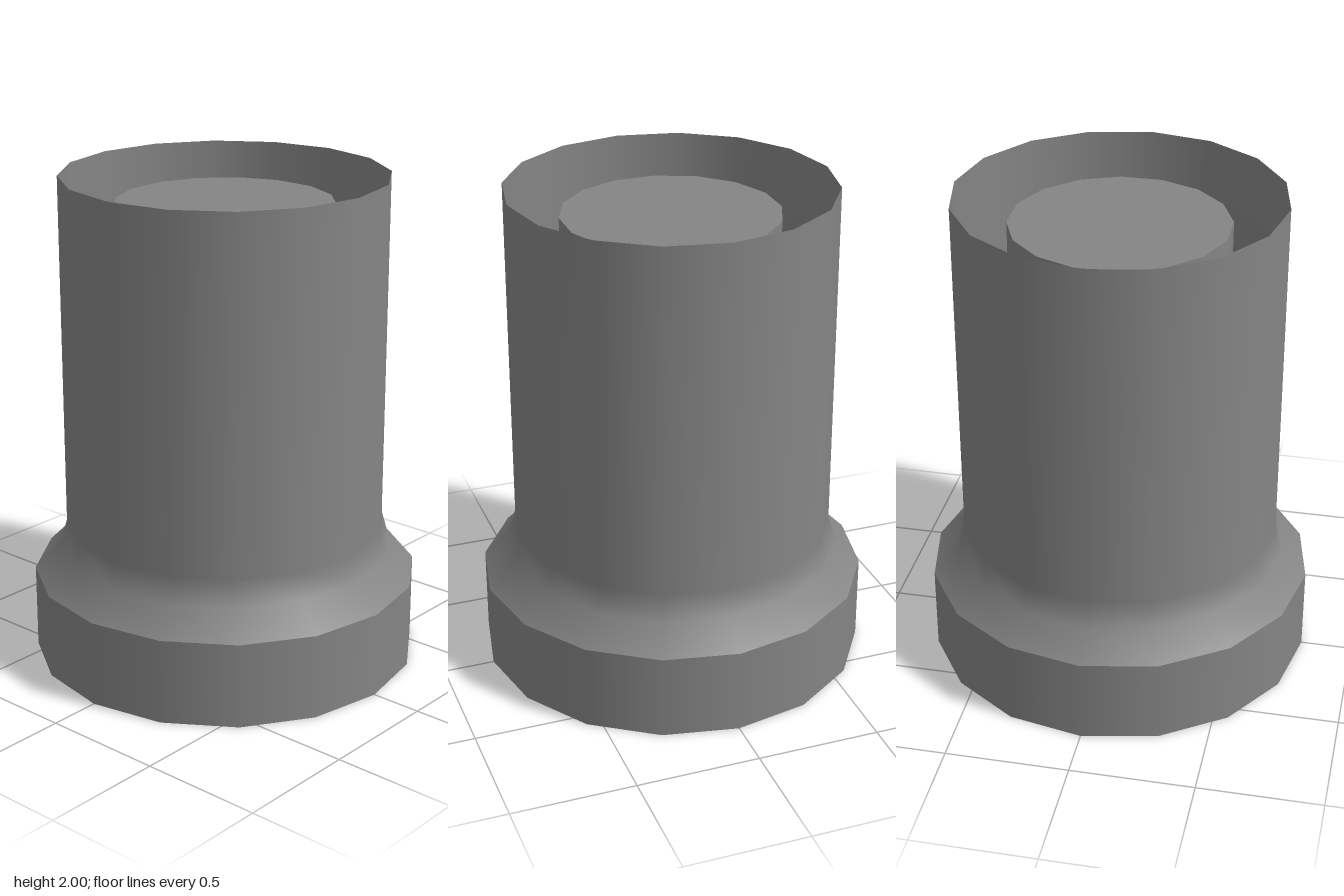
import * as THREE from 'three';

const SIDES = 16;
const material = new THREE.MeshStandardMaterial({ color: 0x858585, side: THREE.DoubleSide });

// Thin shell turned round the y axis from [radius, height] pairs
function turned(name, profile) {
  const points = profile.map(([r, y]) => new THREE.Vector2(r, y));
  const geometry = new THREE.LatheGeometry(points, SIDES);
  geometry.normalizeNormals();
  const mesh = new THREE.Mesh(geometry, material);
  mesh.name = name;
  return mesh;
}

export function createModel() {
  const group = new THREE.Group();
  group.name = 'flangedTube';

  // Outer shell: straight foot, then a shoulder blending into the open tube
  group.add(turned('footBand', [[0.79, 0], [0.79, 0.35]]));
  group.add(turned('shoulderAndTube', [[0.79, 0.35], [0.685, 0.455], [0.655, 0.56], [0.655, 2]]));

  // Bottom ring with the socket rising from its hole
  group.add(turned('bottomRing', [[0.435, 0], [0.79, 0]]));
  group.add(turned('socketWall', [[0.435, 0], [0.428, 0.5]]));

  // Hollow core, turned half a side against the shell, closed on top only
  const core = new THREE.Group();
  core.name = 'core';
  core.add(turned('coreWall', [[0.437, 0.1], [0.437, 1.89]]));
  core.add(turned('coreCap', [[0.437, 1.89], [0, 1.89]]));
  core.rotation.y = Math.PI / SIDES;
  group.add(core);

  return group;
}
